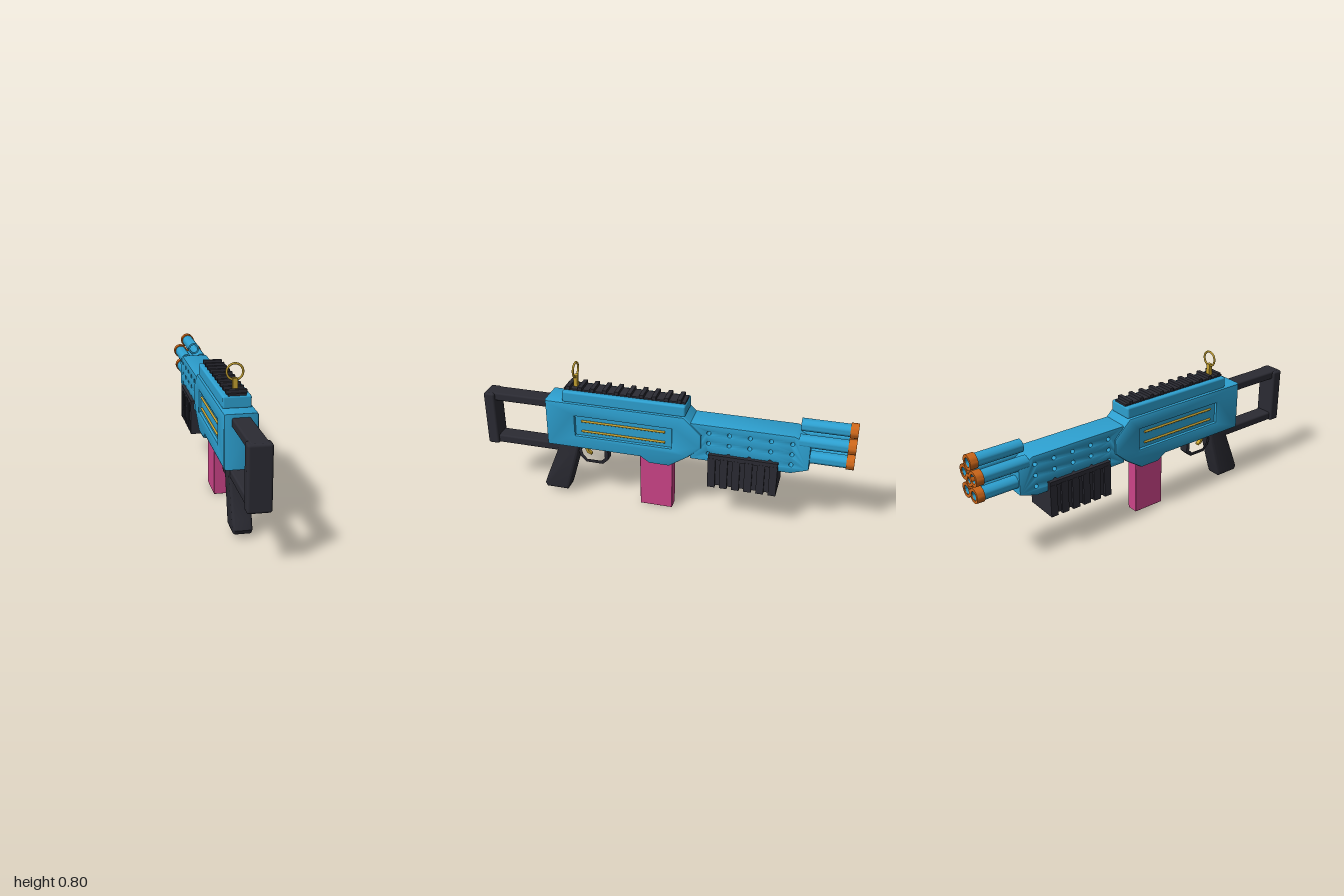
import * as THREE from 'three';
import { toCreasedNormals } from 'three/addons/utils/BufferGeometryUtils.js';
import { RoundedBoxGeometry } from 'three/addons/geometries/RoundedBoxGeometry.js';

const paint = (name, color) => {
  const m = new THREE.MeshStandardMaterial({ color });
  m.name = name;
  return m;
};

export function createModel() {
  const blue = paint('blue', 0x2da0d0);
  const black = paint('charcoal', 0x2b2b33);
  const gold = paint('gold', 0xc4a030);
  const orange = paint('orange', 0xcc6619);
  const pink = paint('pink', 0xcc4488);
  const model = new THREE.Group();
  model.name = 'toyBlaster';

  const add = (name, geometry, material, x = 0, y = 0, z = 0) => {
    const mesh = new THREE.Mesh(geometry, material);
    mesh.name = name;
    mesh.position.set(x, y, z);
    model.add(mesh);
    return mesh;
  };
  // Box given by half width and its y and z ranges; r rounds the edges
  const box = (name, material, half, y0, y1, z0, z1, r = 0) => {
    const size = [half * 2, y1 - y0, z1 - z0];
    const geometry = r ? new RoundedBoxGeometry(...size, 2, r) : new THREE.BoxGeometry(...size);
    return add(name, geometry, material, 0, (y0 + y1) / 2, (z0 + z1) / 2);
  };
  const path = (points) => points.map(([z, y]) => new THREE.Vector2(z, y));
  // Side outline in (z, y), extruded across x with bevelled edges
  const slab = (points, half, bevel, holes = [], segments = 2) => {
    const shape = new THREE.Shape(path(points));
    shape.holes.push(...holes);
    const geometry = new THREE.ExtrudeGeometry(shape, {
      depth: 2 * (half - bevel), bevelEnabled: bevel > 0, bevelThickness: bevel,
      bevelSize: bevel, bevelOffset: -bevel, bevelSegments: segments, curveSegments: 8,
    });
    geometry.translate(0, 0, bevel - half).rotateY(-Math.PI / 2);
    return toCreasedNormals(geometry, 0.7);
  };
  // Hollow tube along z
  const tube = (inner, outer, length) => {
    const profile = [[inner, 0], [outer, 0], [outer, length], [inner, length], [inner, 0]];
    const geometry = new THREE.LatheGeometry(path(profile), 24);
    return toCreasedNormals(geometry.rotateX(-Math.PI / 2), 0.7);
  };

  // Main body with a recessed panel on each side
  const panel = new THREE.Path(path([[0.465, 0.408], [-0.065, 0.408], [-0.065, 0.522], [0.465, 0.522]]));
  add('body', slab([
    [0.63, 0.33], [0.63, 0.6], [-0.13, 0.6], [-0.225, 0.51], [-0.225, 0.43],
    [-0.155, 0.365], [-0.055, 0.297], [0.055, 0.297], [0.105, 0.33],
  ], 0.083, 0.013, [panel]), blue);
  box('panelFloor', blue, 0.068, 0.39, 0.54, -0.09, 0.49);
  for (const side of [1, -1]) {
    for (const y of [0.495, 0.435]) {
      const rod = new THREE.CylinderGeometry(0.006, 0.006, 0.46, 10).rotateX(Math.PI / 2);
      add('panelRod', rod, gold, side * 0.071, y, 0.2);
    }
  }

  // Barrel shroud pierced by rows of round holes
  const vents = [];
  for (let i = 0; i < 5; i++) {
    for (const y of [0.525, 0.465, 0.405]) {
      vents.push(new THREE.Path().absarc(-0.262 - i * 0.107, y, 0.01, 0, Math.PI * 2, true));
    }
  }
  add('barrelShroud', slab([
    [-0.165, 0.36], [-0.165, 0.57], [-0.7, 0.57], [-0.78, 0.53], [-0.78, 0.385], [-0.69, 0.355],
  ], 0.074, 0.005, vents), blue);

  // Cluster of barrels with orange muzzle rings
  const barrels = [[0, 0.607], [0.045, 0.54], [-0.045, 0.54], [0.036, 0.447], [-0.036, 0.447], [0, 0.515]];
  barrels.forEach(([x, y], i) => {
    const r = i === 5 ? 0.027 : 0.033;
    add('barrel', tube(r - 0.01, r, 0.275), blue, x, y, -0.72);
    add('muzzleRing', tube(r - 0.009, r + 0.006, 0.04), orange, x, y, -0.96);
  });

  // Ribbed pump grip
  box('foregripTop', black, 0.093, 0.385, 0.41, -0.627, -0.265);
  box('foregripCore', black, 0.083, 0.225, 0.39, -0.62, -0.27);
  for (let i = 0; i < 6; i++) {
    const z = -0.627 + i * 0.0644;
    box('foregripRib', black, 0.094, 0.215, 0.39, z, z + 0.04);
  }

  // Magazine
  box('magazine', pink, 0.033, 0, 0.33, -0.06, 0.12, 0.004);

  // Top rail on its raised base
  box('railBase', blue, 0.07, 0.595, 0.658, -0.135, 0.535, 0.01);
  box('rail', black, 0.043, 0.65, 0.667, -0.13, 0.53);
  for (let i = 0; i < 10; i++) {
    const z = 0.505 - i * 0.067;
    box('railTooth', black, 0.051, 0.662, 0.683, z - 0.012, z + 0.012, 0.003);
  }

  // Ring sight
  box('sightPost', gold, 0.012, 0.66, 0.73, 0.465, 0.486);
  add('sightRing', new THREE.TorusGeometry(0.0395, 0.0055, 10, 40), gold, 0, 0.759, 0.475);

  // Open frame stock
  box('stockTopBar', black, 0.045, 0.535, 0.582, 0.6, 0.99, 0.01);
  box('stockLowerBar', black, 0.045, 0.273, 0.32, 0.5, 0.99, 0.01);
  box('stockPad', black, 0.057, 0.268, 0.58, 0.936, 1, 0.013);

  // Pistol grip
  add('pistolGrip', slab([
    [0.46, 0.335], [0.475, 0.26], [0.535, 0.05], [0.545, 0.023], [0.67, 0.023],
    [0.682, 0.045], [0.664, 0.095], [0.59, 0.28], [0.6, 0.335],
  ], 0.048, 0.014, [], 3), black);

  // Trigger guard and trigger
  const gap = new THREE.Path(path([[0.465, 0.325], [0.45, 0.26], [0.425, 0.232], [0.342, 0.232], [0.32, 0.253], [0.32, 0.325]]));
  add('triggerGuard', slab([
    [0.485, 0.335], [0.465, 0.25], [0.432, 0.215], [0.335, 0.215], [0.304, 0.245], [0.304, 0.335],
  ], 0.028, 0.003, [gap]), black);
  add('trigger', slab([
    [0.44, 0.335], [0.443, 0.29], [0.43, 0.262], [0.405, 0.253], [0.405, 0.262], [0.42, 0.275], [0.425, 0.295], [0.415, 0.335],
  ], 0.012, 0.002), gold);

  return model;
}
